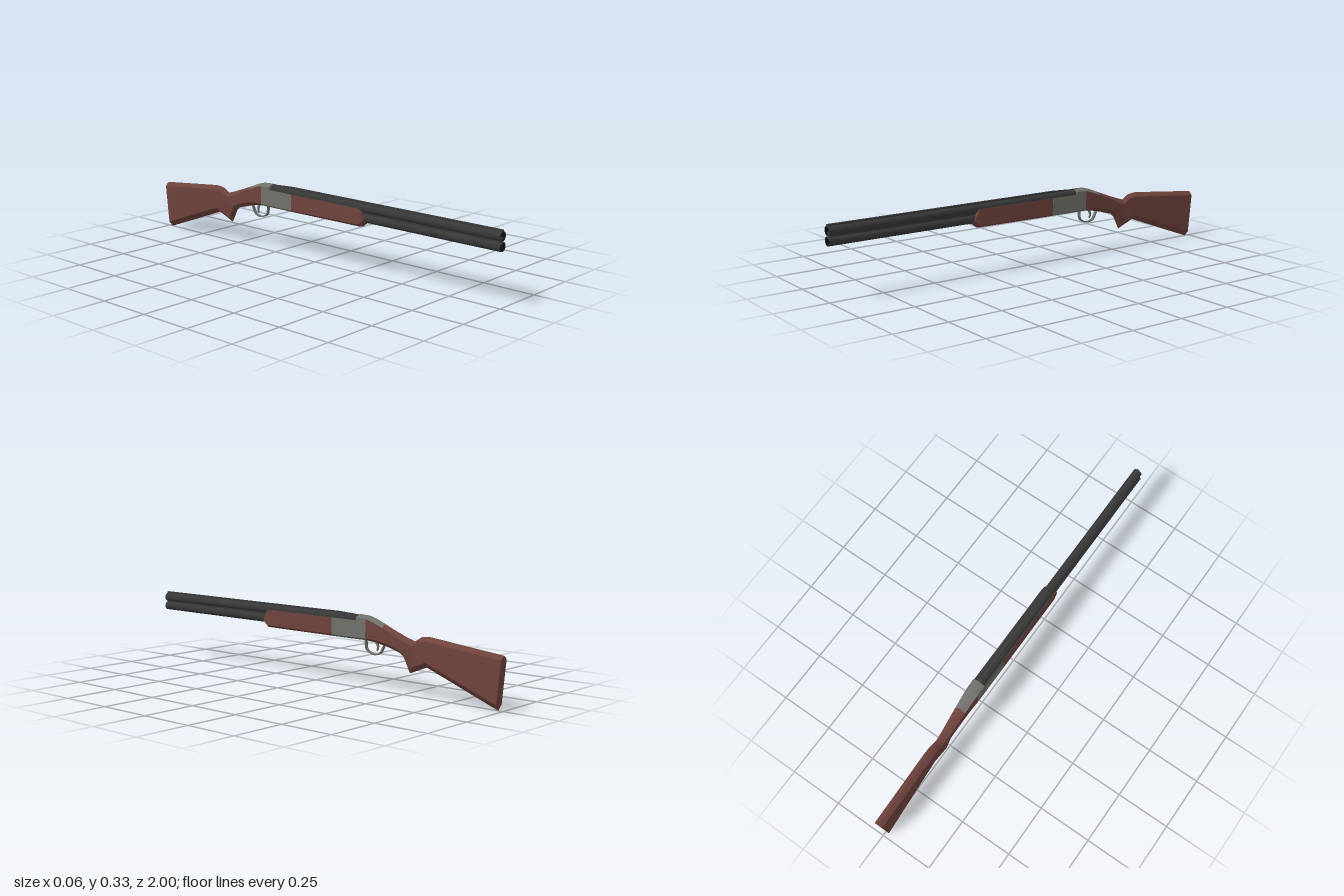
import * as THREE from 'three';
import { toCreasedNormals } from 'three/addons/utils/BufferGeometryUtils.js';

const mat = (name, color, side = THREE.FrontSide) => {
  const m = new THREE.MeshStandardMaterial({ color, side });
  m.name = name;
  return m;
};

// Ring of ten points: top, shoulder, side, side, lower shoulder, bottom, then mirrored.
// zT/top and zB/bot are the upper and lower centre points, bt and bb the bevel heights.
function ring([zT, top, zB, bot, w, bt, bb, k]) {
  const half = [
    [0, top], [0.5 * w, top - 0.4 * bt], [w, top - bt],
    [w, bot + bb], [0.65 * w, bot + k * bb], [0, bot],
  ];
  const all = [...half, ...half.slice(1, 5).reverse().map(([x, y]) => [-x, y])];
  return all.map(([x, y]) =>
    new THREE.Vector3(x, y, zB + (zT - zB) * (y - bot) / (top - bot)));
}

// Skin through sections ordered front to back; the first topCount spans get a second top colour.
function loft(sections, topCount = 0) {
  const rings = sections.map(ring);
  const parts = [[], []];
  const n = 10;
  for (let s = 0; s < rings.length - 1; s++) {
    for (let j = 0; j < n; j++) {
      const i = (j + 1) % n;
      const a = rings[s][j], b = rings[s][i], c = rings[s + 1][i], d = rings[s + 1][j];
      const isTop = (j < 2 || j > 7) && s < topCount;
      parts[isTop ? 1 : 0].push(a, b, c, a, c, d);
    }
  }
  const first = rings[0], last = rings[rings.length - 1];
  const mid = (r) => r[0].clone().add(r[5]).multiplyScalar(0.5);
  for (let j = 0; j < n; j++) {
    const i = (j + 1) % n;
    parts[0].push(mid(first), first[i], first[j], mid(last), last[j], last[i]);
  }
  const geo = new THREE.BufferGeometry().setFromPoints([...parts[0], ...parts[1]]);
  geo.addGroup(0, parts[0].length, 0);
  geo.addGroup(parts[0].length, parts[1].length, 1);
  return toCreasedNormals(geo, 0.6);
}

// Plate cut from a side outline of [z, y] points, centred on x = 0.
function sidePlate(points, width) {
  const shape = new THREE.Shape(points.map(([z, y]) => new THREE.Vector2(z, y)));
  const geo = new THREE.ExtrudeGeometry(shape, { depth: width, bevelEnabled: false });
  return geo.rotateY(-Math.PI / 2).translate(width / 2, 0, 0);
}

export function createModel() {
  const model = new THREE.Group();
  const wood = mat('wood', 0x6e423b);
  const steel = mat('grey steel', 0x70706b);
  const dark = mat('dark steel', 0x383838);
  const black = mat('bore black', 0x0c0c0c, THREE.DoubleSide);
  const add = (name, geo, material) => {
    const mesh = new THREE.Mesh(geo, material);
    mesh.name = name;
    model.add(mesh);
    return mesh;
  };

  // Two stacked barrels with hollow muzzles
  [['upperBarrel', 0.3], ['lowerBarrel', 0.257]].forEach(([name, y]) => {
    const tube = new THREE.CylinderGeometry(0.021, 0.021, 1.26, 16, 1, true);
    add(name, tube.rotateX(Math.PI / 2).translate(0, y, 0.37), dark);
    add(name + 'Rim', new THREE.RingGeometry(0.0175, 0.021, 16).translate(0, y, 1), dark);
    const bore = new THREE.CylinderGeometry(0.0175, 0.0175, 0.1, 16, 1, true);
    add(name + 'Bore', bore.rotateX(Math.PI / 2).translate(0, y, 0.95), black);
    add(name + 'BoreEnd', new THREE.CircleGeometry(0.0175, 16).translate(0, y, 0.9), black);
  });
  add('barrelWeb', new THREE.BoxGeometry(0.022, 0.03, 1.25).translate(0, 0.2785, 0.37), dark);

  // Sighting rib, sloping down towards the breech
  add('rib', sidePlate([
    [1, 0.316], [1, 0.327], [-0.14, 0.327], [-0.26, 0.321], [-0.26, 0.305],
  ], 0.013), dark);

  // Wooden fore-end with a dark flat top
  add('foreEnd', loft([
    [0.28, 0.298, 0.312, 0.238, 0.026, 0, 0.014, 0.3],
    [0.265, 0.3, 0.28, 0.214, 0.029, 0, 0.014, 0.3],
    [-0.12, 0.3, -0.12, 0.213, 0.029, 0, 0.012, 0.3],
  ], 2), [wood, dark]);

  // Receiver and raised breech block
  add('receiver', loft([
    [-0.12, 0.3, -0.12, 0.213, 0.0293, 0, 0.012, 0.3],
    [-0.26, 0.3, -0.26, 0.213, 0.0293, 0, 0.012, 0.3],
  ], 1), [steel, dark]);
  add('breech', loft([
    [-0.26, 0.325, -0.26, 0.213, 0.0293, 0.012, 0.012, 0.3],
    [-0.313, 0.323, -0.313, 0.213, 0.0293, 0.012, 0.012, 0.3],
  ]), [steel, steel]);

  // Stock with grip; the steel tang covers the top of the wrist
  add('stock', loft([
    [-0.313, 0.323, -0.313, 0.213, 0.029, 0.012, 0.012, 0.3],
    [-0.355, 0.311, -0.36, 0.208, 0.027, 0.013, 0.016, 0.35],
    [-0.4, 0.293, -0.42, 0.195, 0.025, 0.014, 0.02, 0.4],
    [-0.46, 0.27, -0.485, 0.176, 0.022, 0.016, 0.022, 0.45],
    [-0.52, 0.248, -0.507, 0.158, 0.02, 0.018, 0.022, 0.5],
    [-0.56, 0.236, -0.537, 0.097, 0.018, 0.018, 0.022, 0.5],
    [-0.596, 0.258, -0.58, 0.115, 0.019, 0.018, 0.022, 0.5],
    [-0.64, 0.262, -0.623, 0.132, 0.02, 0.018, 0.023, 0.6],
    [-1, 0.225, -0.978, 0, 0.02, 0.018, 0.025, 0.65],
  ], 2), [wood, steel]);

  // Trigger guard: a thin strip bent along a curve
  const path = new THREE.CatmullRomCurve3([
    [-0.291, 0.215], [-0.297, 0.174], [-0.335, 0.154], [-0.375, 0.162], [-0.4, 0.203],
  ].map(([z, y]) => new THREE.Vector3(z, y, 0))).getPoints(16);
  const centre = new THREE.Vector3(-0.345, 0.205, 0);
  const inner = path.map((p) => p.clone().lerp(centre, 0.11));
  add('triggerGuard', sidePlate([...path, ...inner.reverse()].map((p) => [p.x, p.y]), 0.014), steel);

  // Trigger
  add('trigger', sidePlate([
    [-0.345, 0.215], [-0.358, 0.19], [-0.354, 0.173], [-0.36, 0.174], [-0.366, 0.192], [-0.358, 0.215],
  ], 0.007), steel);

  return model;
}
